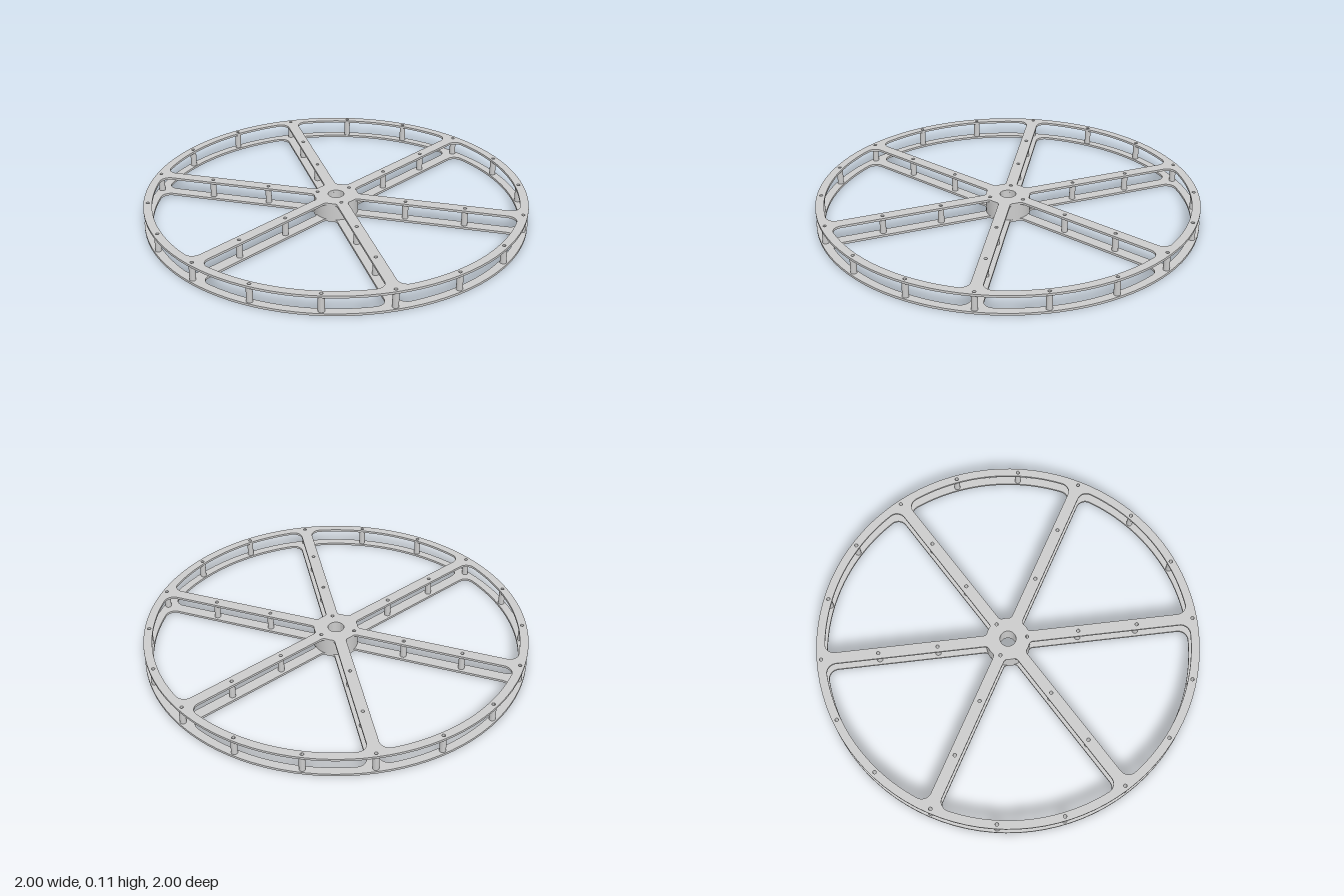
import * as THREE from 'three';
import { toCreasedNormals } from 'three/addons/utils/BufferGeometryUtils.js';

const RAD = Math.PI / 180;
const HEIGHT = 0.106, PLATE = 0.012, GAP = HEIGHT - 2 * PLATE;
const RIM = 0.956, HUB = 0.115, HALF_SPOKE = 0.03;
const BORE = 0.042, BOLT = 0.009, SPACER = 0.016;
const BOLT_RING = 0.977, HUB_BOLT_RING = 0.1;

const polar = (r, deg) => new THREE.Vector2(r * Math.cos(deg * RAD), r * Math.sin(deg * RAD));

function disc(x, y, r) {
  return new THREE.Path().absarc(x, y, r, 0, Math.PI * 2, false);
}

// Opening between two spokes: filleted at the rim and around the hub
function windowPath(turn) {
  const rimFillet = 0.05, hubFillet = 0.02;
  const rc = RIM - rimFillet, hc = HUB + hubFillet;
  const a = 30 - Math.asin((HALF_SPOKE + rimFillet) / rc) / RAD;
  const b = 30 - Math.asin((HALF_SPOKE + hubFillet) / hc) / RAD;
  const path = new THREE.Path();
  const arc = (c, r, from, to, clockwise = false) =>
    path.absarc(c.x, c.y, r, (from + turn) * RAD, (to + turn) * RAD, clockwise);
  const centre = new THREE.Vector2();
  arc(centre, RIM, -a, a);
  arc(polar(rc, a + turn), rimFillet, a, 120);
  arc(polar(hc, b + turn), hubFillet, 120, 180 + b);
  arc(centre, HUB, b, -b, true);
  arc(polar(hc, -b + turn), hubFillet, 180 - b, 240);
  arc(polar(rc, -a + turn), rimFillet, 240, 360 - a);
  path.closePath();
  return path;
}

// Extrude a flat shape upwards, smooth on curves and sharp on edges
function extrudeUp(shape, depth, curveSegments) {
  const g = new THREE.ExtrudeGeometry(shape, { depth, bevelEnabled: false, curveSegments });
  g.rotateX(-Math.PI / 2);
  return toCreasedNormals(g, 0.5);
}

export function createModel() {
  const group = new THREE.Group();
  const material = new THREE.MeshStandardMaterial({ color: 0xcccccc });
  const add = (name, geometry, x, y, z) => {
    const mesh = new THREE.Mesh(geometry, material);
    mesh.name = name;
    mesh.position.set(x, y, z);
    group.add(mesh);
  };

  // Bolt positions: around the rim, along each spoke, and three in the hub
  const spacers = [], hubBolts = [];
  for (let i = 0; i < 18; i++) spacers.push(polar(BOLT_RING, 90 + i * 20));
  for (let i = 0; i < 6; i++) {
    for (const r of [0.37, 0.68]) spacers.push(polar(r, 90 + i * 60));
  }
  for (let i = 0; i < 3; i++) hubBolts.push(polar(HUB_BOLT_RING, 90 + i * 120));

  // Two identical spoked plates
  const plate = new THREE.Shape().absarc(0, 0, 1, 0, Math.PI * 2, false);
  for (let i = 0; i < 6; i++) plate.holes.push(windowPath(i * 60));
  plate.holes.push(disc(0, 0, BORE));
  for (const p of [...spacers, ...hubBolts]) plate.holes.push(disc(p.x, p.y, BOLT));
  const plateGeometry = extrudeUp(plate, PLATE, 48);
  add('lowerPlate', plateGeometry, 0, 0, 0);
  add('upperPlate', plateGeometry, 0, HEIGHT - PLATE, 0);

  // Hub block between the plates
  const hub = new THREE.Shape().absarc(0, 0, HUB, 0, Math.PI * 2, false);
  hub.holes.push(disc(0, 0, BORE));
  for (const p of hubBolts) hub.holes.push(disc(p.x, p.y, BOLT));
  add('hub', extrudeUp(hub, GAP, 32), 0, PLATE, 0);

  // Hollow spacers holding the plates apart
  const tube = new THREE.Shape().absarc(0, 0, SPACER, 0, Math.PI * 2, false);
  tube.holes.push(disc(0, 0, BOLT));
  const spacerGeometry = extrudeUp(tube, GAP, 24);
  for (const p of spacers) add('spacer', spacerGeometry, p.x, PLATE, -p.y);

  return group;
}
